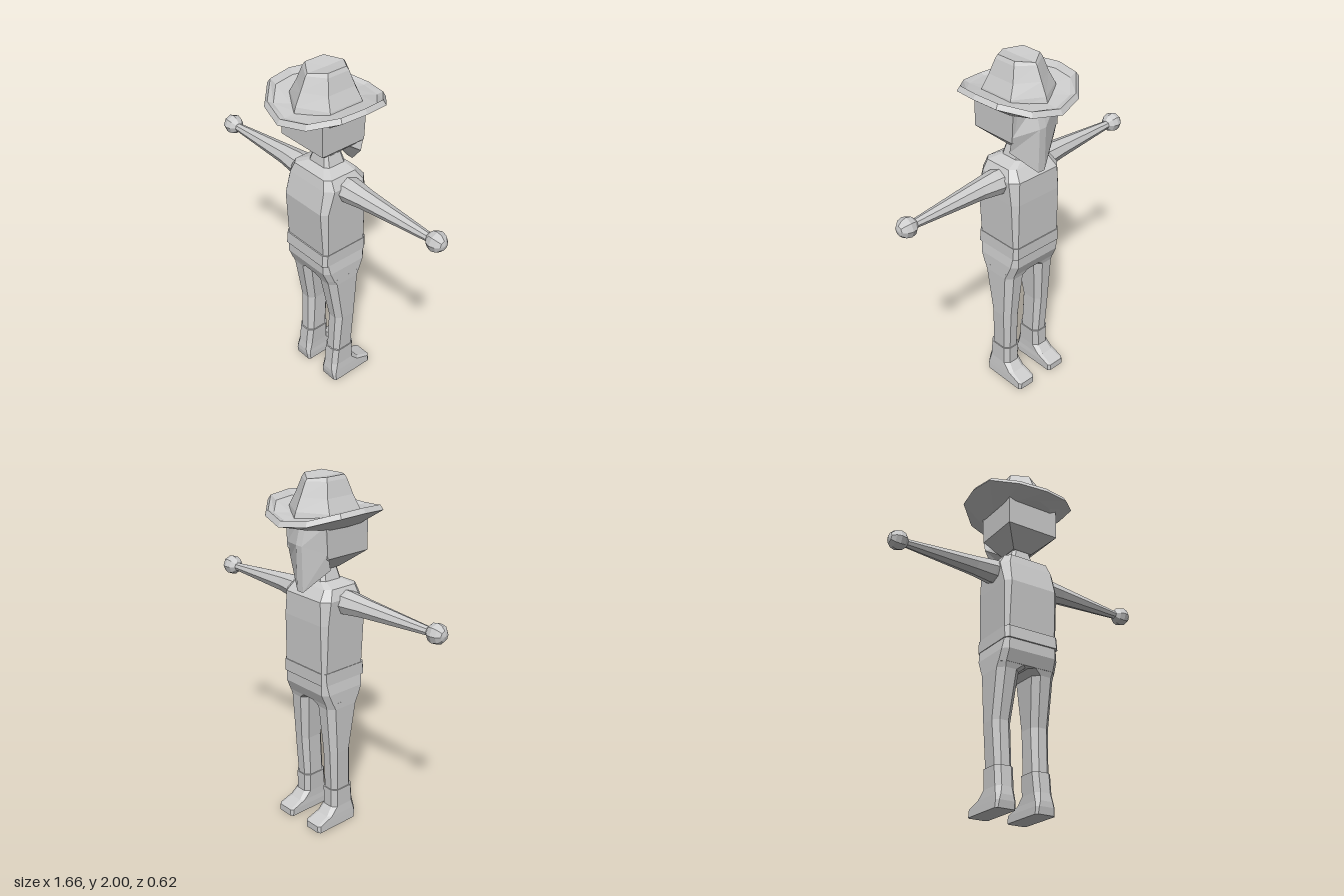
import * as THREE from 'three';

const material = new THREE.MeshStandardMaterial({ color: 0xcccccc, flatShading: true });
material.name = 'lightGrey';

// Skins a stack of rings; bottom and top are closed with fans round a centre point.
function loft(rings, { mirror = false, capCentres = [] } = {}) {
  if (mirror) rings = rings.map(r => r.map(([x, y, z]) => [-x, y, z]).reverse());
  const pos = [];
  const tri = (a, b, c) => pos.push(...a, ...b, ...c);
  const centre = r => [0, 1, 2].map(k => r.reduce((s, p) => s + p[k], 0) / r.length);
  const n = rings[0].length, last = rings.length - 1;
  const low = capCentres[0] || centre(rings[0]);
  const high = capCentres[1] || centre(rings[last]);
  for (let j = 0; j < n; j++) {
    const k = (j + 1) % n;
    for (let i = 0; i < last; i++) {
      const a = rings[i], b = rings[i + 1];
      tri(a[j], a[k], b[k]);
      tri(a[j], b[k], b[j]);
    }
    tri(rings[0][k], rings[0][j], low);
    tri(rings[last][j], rings[last][k], high);
  }
  const g = new THREE.BufferGeometry();
  g.setAttribute('position', new THREE.Float32BufferAttribute(pos, 3));
  g.computeVertexNormals();
  return g;
}

// Level rectangle, with cut corners when c > 0.
function box(y, x0, x1, z0, z1, c = 0) {
  if (!c) return [[x0, y, z1], [x1, y, z1], [x1, y, z0], [x0, y, z0]];
  return [
    [x0 + c, y, z1], [x1 - c, y, z1], [x1, y, z1 - c], [x1, y, z0 + c],
    [x1 - c, y, z0], [x0 + c, y, z0], [x0, y, z0 + c], [x0, y, z1 - c],
  ];
}
const wide = (y, x, z0, z1, c) => box(y, -x, x, z0, z1, c);

export function createModel() {
  const model = new THREE.Group();
  const add = (name, geometry, parent = model) => {
    const m = new THREE.Mesh(geometry, material);
    m.name = name;
    parent.add(m);
    return m;
  };

  // Trunk
  add('torso', loft([
    wide(0.96, 0.165, -0.15, 0.142, 0.02), wide(1.24, 0.172, -0.155, 0.16, 0.03),
    wide(1.37, 0.175, -0.15, 0.13, 0.04), wide(1.425, 0.145, -0.105, 0.115, 0.03),
    wide(1.45, 0.08, -0.08, 0.065, 0.02),
  ]));
  add('belt', loft([wide(0.9, 0.17, -0.155, 0.155, 0.02), wide(0.97, 0.168, -0.155, 0.15, 0.02)]));
  add('pelvis', loft([
    wide(0.775, 0.178, -0.122, 0.118, 0.03), wide(0.84, 0.176, -0.15, 0.145, 0.03),
    wide(0.905, 0.165, -0.15, 0.145, 0.02),
  ]));

  // Legs and boots
  for (const side of [1, -1]) {
    const mirror = side < 0;
    const prefix = mirror ? 'right' : 'left';
    add(prefix + 'Leg', loft([
      box(0.21, 0.064, 0.166, -0.074, 0.064, 0.025), box(0.47, 0.064, 0.176, -0.09, 0.055, 0.03),
      box(0.745, 0.042, 0.179, -0.112, 0.105, 0.035), box(0.78, 0.002, 0.178, -0.122, 0.118, 0.03),
    ], { mirror }));
    add(prefix + 'Boot', loft([
      box(0, 0.06, 0.18, -0.2, 0.08, 0.012), box(0.04, 0.06, 0.178, -0.2, 0.087, 0.014),
      box(0.07, 0.062, 0.176, -0.12, 0.087, 0.02), box(0.115, 0.062, 0.172, -0.08, 0.08, 0.025),
      box(0.225, 0.058, 0.172, -0.08, 0.07, 0.025),
    ], { mirror }));
  }

  // Arms: the second is the first turned half round the vertical axis
  const armRing = (x, y, z, ry, rz) => Array.from({ length: 8 }, (_, i) => {
    const a = i * Math.PI / 4;
    return [x, y + ry * Math.cos(a), z + rz * Math.sin(a)];
  });
  const arm = loft([
    armRing(0.1, 1.342, -0.015, 0.066, 0.085), armRing(0.19, 1.342, -0.015, 0.067, 0.075),
    armRing(0.3, 1.344, -0.016, 0.054, 0.06), armRing(0.74, 1.338, -0.034, 0.022, 0.024),
  ]);
  const hand = new THREE.SphereGeometry(0.056, 8, 6).rotateZ(Math.PI / 2).translate(0.772, 1.34, -0.035);
  for (const prefix of ['left', 'right']) {
    const limb = new THREE.Group();
    limb.name = prefix + 'ArmGroup';
    limb.rotation.y = prefix === 'left' ? 0 : Math.PI;
    add(prefix + 'Arm', arm, limb);
    add(prefix + 'Hand', hand, limb);
    model.add(limb);
  }

  // Neck and head
  add('neck', loft([wide(1.44, 0.08, -0.08, 0.062, 0.02), wide(1.53, 0.05, -0.06, 0.044, 0.015)]));
  add('head', loft([
    wide(1.51, 0.06, -0.07, 0.05), wide(1.6, 0.16, -0.12, 0.16), wide(1.79, 0.16, -0.13, 0.16),
  ]));

  // Neckerchief over the lower face, hanging to a blunt point
  const scarfRing = (yMid, ySide, zSide, zMid, tip, yIn, zIn) => [
    [0, yIn, zIn], [0.16, ySide, zSide], [tip, yMid, zMid], [-tip, yMid, zMid], [-0.16, ySide, zSide],
  ];
  add('neckerchief', loft([
    scarfRing(1.4, 1.54, -0.1, -0.17, 0.022, 1.53, -0.08),
    scarfRing(1.65, 1.63, -0.12, -0.176, 0.022, 1.63, -0.08),
    scarfRing(1.78, 1.78, -0.125, -0.142, 0.022, 1.78, -0.08),
  ]));

  // Hat brim, curled up at the sides
  const half = [[0, 0.31], [0.16, 0.265], [0.285, 0.145], [0.305, 0], [0.285, -0.145], [0.16, -0.265]];
  const outline = [...half, ...half.map(([x, z]) => [-x, -z])];
  const brimRing = (sx, sz, y, rise) => outline.map(([x, z]) =>
    [x * sx, y + rise * (x / 0.3) ** 2, z * sz]);
  add('hatBrim', loft([
    brimRing(0.56, 0.74, 1.752, 0), brimRing(1, 1, 1.772, 0.073), brimRing(0.94, 0.95, 1.802, 0.068),
    brimRing(0.85, 0.85, 1.795, 0.045), brimRing(0.5, 0.6, 1.8, 0.02),
  ]));

  // Hat crown, pinched at the top
  const crownRing = (y, x, zSide, zMid, dip = 0) => [
    [0, y - dip, zMid], [x, y, zSide], [x, y, -zSide],
    [0, y - dip, -zMid], [-x, y, -zSide], [-x, y, zSide],
  ];
  add('hatCrown', loft([
    crownRing(1.78, 0.168, 0.11, 0.21), crownRing(1.83, 0.155, 0.105, 0.195),
    crownRing(1.9, 0.122, 0.088, 0.162), crownRing(1.98, 0.097, 0.068, 0.128, 0.005),
    crownRing(2, 0.086, 0.06, 0.118, 0.013),
  ], { capCentres: [null, [0, 1.985, 0]] }));

  return model;
}
